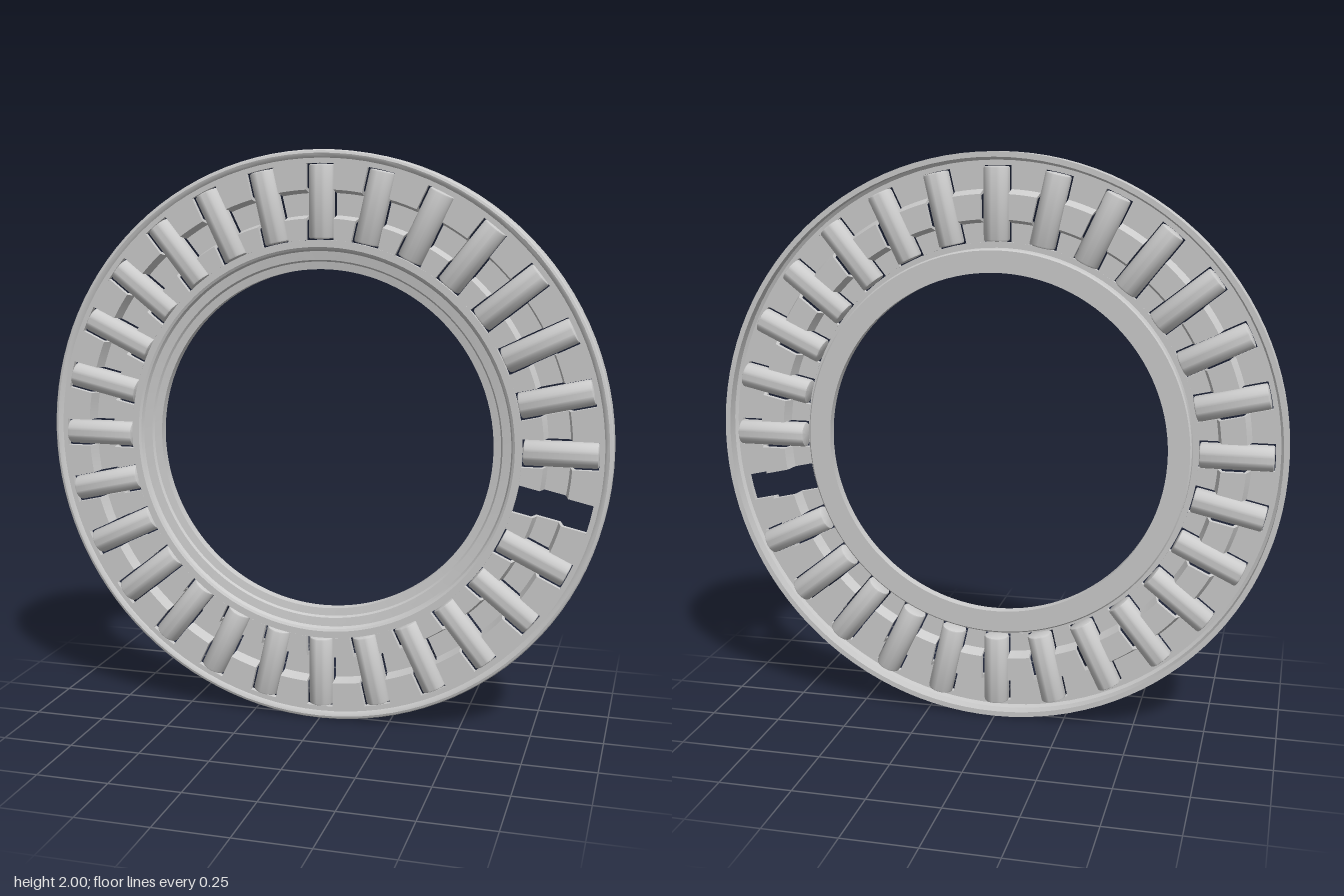
import * as THREE from 'three';
import { toCreasedNormals } from 'three/addons/utils/BufferGeometryUtils.js';

const COUNT = 28;            // pockets round the cage
const EMPTY = COUNT - 1;     // pocket without a roller
const STEP = (Math.PI * 2) / COUNT;
const SLOT_HALF = 0.048, SLOT_IN = 0.7, SLOT_OUT = 0.955;

const material = new THREE.MeshStandardMaterial({ color: 0xcccccc });

// Closed ring from a counter-clockwise (radius, z) profile
function ring(name, profile) {
  const pts = [...profile, profile[0]].map(([r, z]) => new THREE.Vector2(r, z));
  const geo = new THREE.LatheGeometry(pts, 112).rotateX(Math.PI / 2);
  const mesh = new THREE.Mesh(toCreasedNormals(geo, 0.5), material);
  mesh.name = name;
  return mesh;
}

// Folded sheet between two pockets: extruded profile bent round the axis,
// narrowing inward so that the pocket sides stay parallel
function webGeometry() {
  const shape = new THREE.Shape([
    [SLOT_IN, 0.01], [0.765, 0.01], [0.778, -0.036], [0.862, -0.036],
    [0.877, 0.01], [SLOT_OUT, 0.01], [SLOT_OUT, 0.03], [0.868, 0.03],
    [0.857, -0.016], [0.783, -0.016], [0.772, 0.03], [SLOT_IN, 0.03],
  ].map(([r, z]) => new THREE.Vector2(r, z)));
  const geo = new THREE.ExtrudeGeometry(shape, { depth: 1, steps: 4, bevelEnabled: false });
  const p = geo.attributes.position;
  for (let i = 0; i < p.count; i++) {
    const r = p.getX(i), z = p.getY(i), t = p.getZ(i);
    const half = STEP / 2 - Math.asin(SLOT_HALF / r);
    const a = (1 - 2 * t) * half;
    p.setXYZ(i, r * Math.cos(a), r * Math.sin(a), z);
  }
  return toCreasedNormals(geo, 0.5);
}

// Roller with slightly rounded ends, lying along x
function rollerGeometry() {
  const R = 0.044, h = 0.124, c = 0.006;
  const pts = [[0, -h], [R - c, -h], [R - c * 0.3, -h + c * 0.3], [R, -h + c],
    [R, h - c], [R - c * 0.3, h - c * 0.3], [R - c, h], [0, h]]
    .map(([r, y]) => new THREE.Vector2(r, y));
  const geo = new THREE.LatheGeometry(pts, 28).rotateZ(-Math.PI / 2);
  return toCreasedNormals(geo, 0.6);
}

export function createModel() {
  const model = new THREE.Group();
  model.name = 'rollerThrustBearing';
  const bearing = new THREE.Group();
  bearing.name = 'bearing';
  bearing.position.y = 1;
  model.add(bearing);

  // Outer rim: face sheet turned over into a full-depth lip
  bearing.add(ring('outerRim', [
    [SLOT_OUT, 0.01], [0.972, 0.01], [0.982, 0.002], [0.982, -0.04], [1, -0.04],
    [1, 0.03], [0.996, 0.036], [0.988, 0.039], [0.98, 0.037], [0.972, 0.03],
    [SLOT_OUT, 0.03],
  ]));

  // Inner rim: stepped at the front, flat at the back
  bearing.add(ring('innerRim', [
    [0.6, -0.04], [0.675, -0.04], [0.68, -0.035], [0.68, 0.01], [SLOT_IN, 0.01],
    [SLOT_IN, 0.03], [0.676, 0.03], [0.668, 0.025], [0.662, 0.012],
    [0.632, 0.008], [0.626, 0.0], [0.6, -0.004],
  ]));

  const webGeo = webGeometry(), rollerGeo = rollerGeometry();
  for (let i = 0; i < COUNT; i++) {
    const web = new THREE.Mesh(webGeo, material);
    web.name = 'cageWeb';
    web.rotation.z = (i + 0.5) * STEP;
    bearing.add(web);

    if (i === EMPTY) continue;
    const roller = new THREE.Mesh(rollerGeo, material);
    roller.name = 'roller';
    const a = i * STEP, mid = (SLOT_IN + SLOT_OUT) / 2;
    roller.position.set(mid * Math.cos(a), mid * Math.sin(a), 0);
    roller.rotation.z = a;
    bearing.add(roller);
  }
  return model;
}
